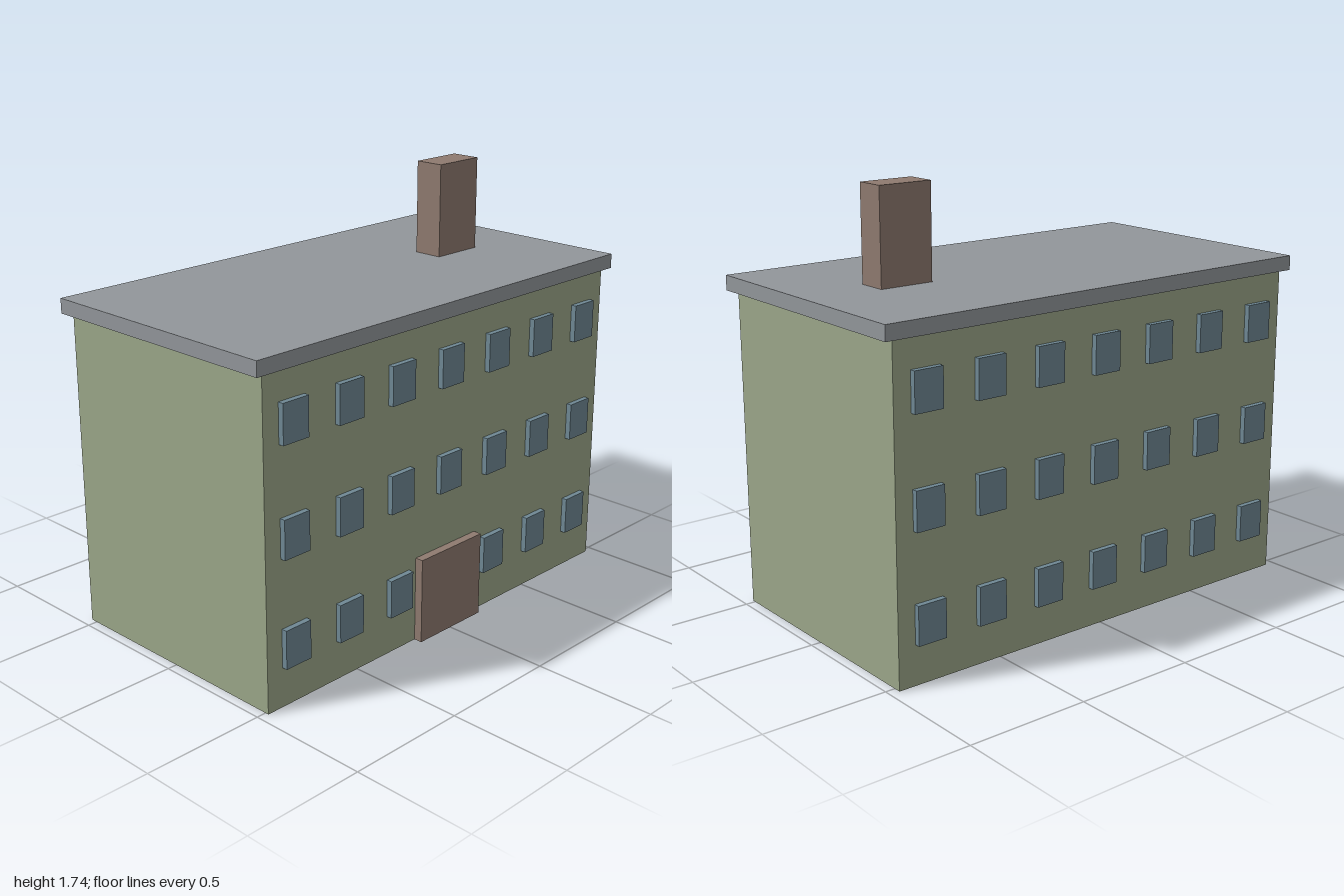
import * as THREE from 'three';

const paint = (name, color) => {
  const m = new THREE.MeshStandardMaterial({ color });
  m.name = name;
  return m;
};

export function createModel() {
  const green = paint('sage wall', 0x9ba689);
  const grey = paint('grey roof', 0x92969a);
  const brown = paint('brown', 0x8e7a6f);
  const blue = paint('blue glass', 0x6f8894);

  const model = new THREE.Group();
  model.name = 'apartmentBlock';
  const midZ = -0.007;

  // Box given by its centre, base height and size
  const box = (name, mat, w, h, d, x, base, z, parent = model) => {
    const mesh = new THREE.Mesh(new THREE.BoxGeometry(w, h, d), mat);
    mesh.name = name;
    mesh.position.set(x, base + h / 2, z);
    parent.add(mesh);
    return mesh;
  };

  // Main masses
  box('walls', green, 1.92, 1.292, 1.045, 0, 0, midZ);
  box('roof', grey, 2, 0.06, 1.085, 0, 1.292, midZ);
  box('chimney', brown, 0.23, 0.383, 0.125, 0.575, 1.352, midZ);
  box('door', brown, 0.35, 0.352, 0.045, 0, 0, 0.5275);

  // Three rows of seven windows on the front and back
  for (const side of [1, -1]) {
    const windows = new THREE.Group();
    windows.name = side > 0 ? 'frontWindows' : 'backWindows';
    model.add(windows);
    for (let row = 0; row < 3; row++) {
      for (let col = -3; col <= 3; col++) {
        if (side > 0 && row === 0 && col === 0) continue; // the door is here
        box('window', blue, 0.123, 0.155, 0.04,
          col * 0.275, 0.16 + row * 0.43, midZ + side * 0.525, windows);
      }
    }
  }
  return model;
}
